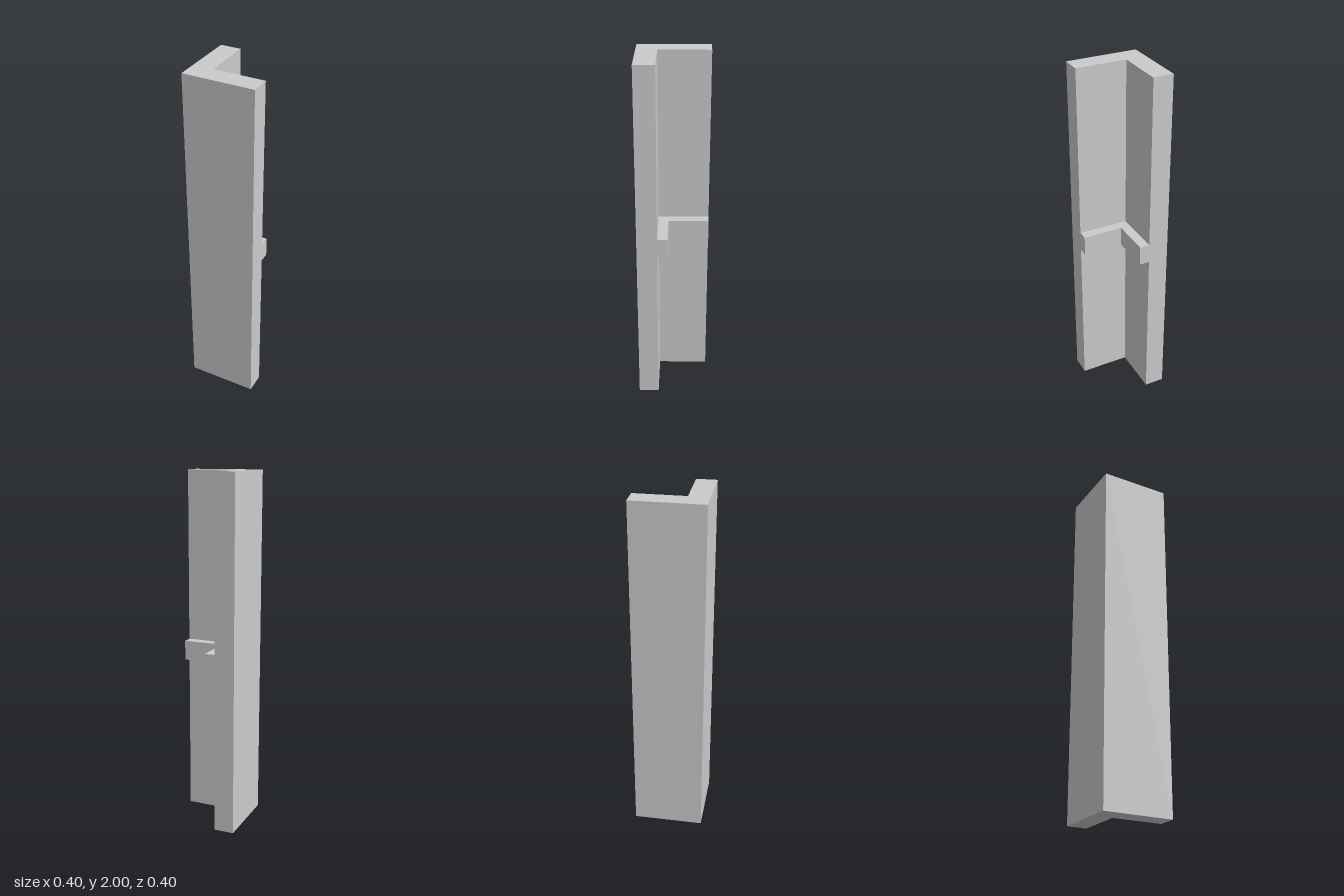
import * as THREE from 'three';

const material = new THREE.MeshStandardMaterial({ color: 0xcccccc, flatShading: true });
const END = 0.2; // both legs end at x = END and z = -END

// L-shaped bar whose outer corner is at (-outer, +outer) and inner corner at (-inner, +inner), in x and z
function angleBar(name, outer, inner, y0, y1) {
  const shape = new THREE.Shape([
    [-outer, -outer], [END, -outer], [END, -inner],
    [-inner, -inner], [-inner, END], [-outer, END],
  ].map(([x, y]) => new THREE.Vector2(x, y)));
  const geometry = new THREE.ExtrudeGeometry(shape, { depth: y1 - y0, bevelEnabled: false });
  geometry.rotateX(-Math.PI / 2);
  geometry.translate(0, y0, 0);
  const mesh = new THREE.Mesh(geometry, material);
  mesh.name = name;
  return mesh;
}

export function createModel() {
  const group = new THREE.Group();
  group.name = 'cornerPost';
  // Full-height corner post
  group.add(angleBar('post', 0.2, 0.086, 0, 2));
  // Rib running round the inside of the corner
  group.add(angleBar('innerRib', 0.086, 0.029, 0.92, 1.032));
  return group;
}
